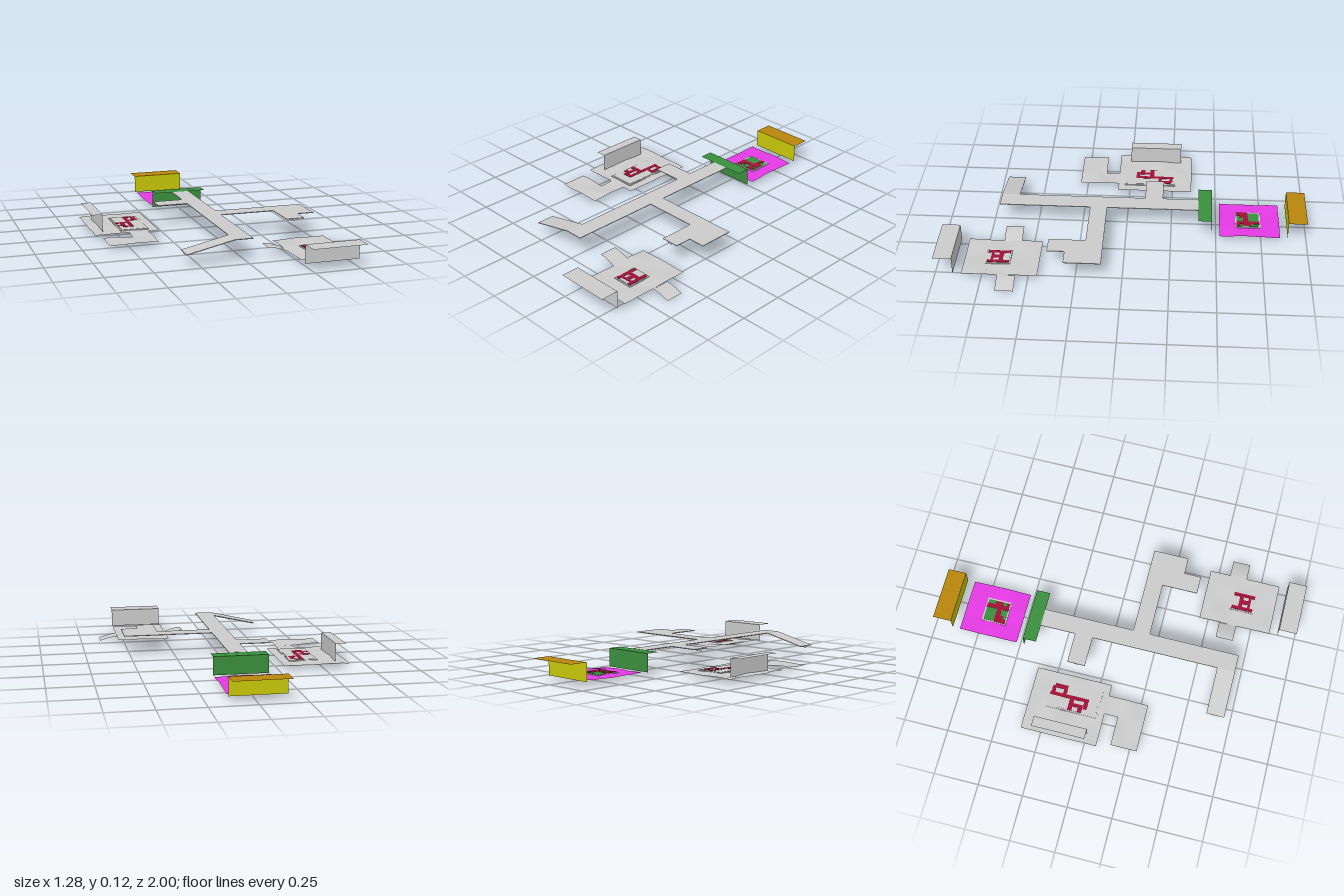
import * as THREE from 'three';

const mat = (color) => new THREE.MeshStandardMaterial({ color, side: THREE.DoubleSide });
const grey = mat(0xcccccc), pink = mat(0xe53ae5), green = mat(0x3a8f3d);
const gold = mat(0xb8860b), yellow = mat(0xc8c80a), red = mat(0xa01238);

function add(parent, name, geometry, material) {
  const mesh = new THREE.Mesh(geometry, material);
  mesh.name = name;
  parent.add(mesh);
  return mesh;
}

// Horizontal sheet over x0..x1, z0..z1 with height y = h(x, z)
function sheet(x0, x1, z0, z1, h, seg = 12) {
  const g = new THREE.PlaneGeometry(x1 - x0, z1 - z0, seg, seg);
  g.rotateX(-Math.PI / 2).translate((x0 + x1) / 2, 0, (z0 + z1) / 2);
  const p = g.attributes.position;
  for (let i = 0; i < p.count; i++) p.setY(i, h(p.getX(i), p.getZ(i)));
  g.computeVertexNormals();
  return g;
}

const box = (x0, x1, y0, y1, z0, z1) =>
  new THREE.BoxGeometry(x1 - x0, y1 - y0, z1 - z0)
    .translate((x0 + x1) / 2, (y0 + y1) / 2, (z0 + z1) / 2);

// Gently rolling ground
const ground = (x, z) => 0.026 + 0.003 * Math.sin(x * 27 + 1) * Math.cos(z * 23) + 0.001 * Math.sin(z * 41 + x * 17);

// Island sheet with a low plinth and a red maze inlaid on top
function island(name, area, material, plinth, walls, floor) {
  const group = new THREE.Group();
  group.name = name;
  add(group, 'ground', sheet(...area, ground, 20), material);
  const [x0, x1, z0, z1] = plinth, e = 0.008;
  add(group, 'plinth', box(x0, x1, 0.025, 0.0305, z0, z1), grey);
  add(group, 'plinthTop', box(x0 + e, x1 - e, 0.03, 0.032, z0 + e, z1 - e), floor);
  for (const [a, b, c, d] of walls) add(group, 'mazeStrip', box(a, b, 0.031, 0.0335, c, d), red);
  return group;
}

// Cliff: thin upright wall with a ledge along its top edge
function cliff(name, x0, x1, z0, z1, wallSide, ledgeMat, wallMat) {
  const group = new THREE.Group();
  group.name = name;
  const top = 0.122, base = 0.022;
  add(group, 'ledge', sheet(x0, x1, z0, z1, () => top, 1), ledgeMat);
  const alongZ = wallSide === 'x';
  const wall = new THREE.PlaneGeometry(alongZ ? z1 - z0 : x1 - x0, top - base);
  if (alongZ) wall.rotateY(Math.PI / 2);
  wall.translate(alongZ ? x1 : (x0 + x1) / 2, (top + base) / 2,
    alongZ ? (z0 + z1) / 2 : wallSide === 'back' ? z0 : z1);
  add(group, 'wall', wall, wallMat);
  return group;
}

// Raised walkway: one flat deck outline, narrow keel beams, and a sloping ramp
function walkway() {
  const group = new THREE.Group();
  group.name = 'walkway';
  const outline = [[-0.067, -0.4], [0.033, -0.4], [0.033, 0.11], [0.535, 0.11], [0.535, 0.31],
    [0.44, 0.31], [0.44, 0.405], [0.338, 0.405], [0.338, 0.205], [0.033, 0.205], [0.033, 0.712],
    [-0.067, 0.712], [-0.067, -0.1], [-0.237, -0.1], [-0.237, -0.2], [-0.067, -0.2]];
  const shape = new THREE.Shape(outline.map(([x, z]) => new THREE.Vector2(x, -z)));
  const deck = new THREE.ExtrudeGeometry(shape, { depth: 0.004, bevelEnabled: false });
  add(group, 'deck', deck.rotateX(-Math.PI / 2).translate(0, 0.119, 0), grey);
  const keels = [[-0.029, -0.005, -0.4, 0.672], [-0.237, -0.029, -0.162, -0.138],
    [-0.005, 0.4, 0.146, 0.17], [0.376, 0.4, 0.17, 0.405], [0.4, 0.5, 0.246, 0.27]];
  for (const [a, b, c, d] of keels) add(group, 'keel', box(a, b, 0.112, 0.119, c, d), grey);

  const ramp = new THREE.Group();
  ramp.name = 'ramp';
  add(ramp, 'rampDeck', box(-0.259, 0, -0.004, 0, 0.612, 0.712), grey);
  add(ramp, 'rampKeel', box(-0.259, 0, -0.011, -0.004, 0.65, 0.674), grey);
  ramp.position.set(-0.067, 0.123, 0);
  ramp.rotation.z = Math.atan2(0.057, 0.253);
  group.add(ramp);
  return group;
}

export function createModel() {
  const model = new THREE.Group();
  model.name = 'islandsAndWalkway';
  model.add(walkway());

  // Cliffs
  model.add(cliff('goldCliff', -0.167, 0.133, -1, -0.897, 'front', gold, yellow));
  model.add(cliff('greenCliff', -0.167, 0.133, -0.476, -0.4, 'back', green, green));
  model.add(cliff('frontCliff', 0.237, 0.535, 0.9, 1, 'back', grey, grey));
  model.add(cliff('sideCliff', -0.64, -0.583, -0.295, 0.003, 'x', grey, grey));

  // Back island
  model.add(island('pinkIsland', [-0.167, 0.133, -0.855, -0.52], pink, [-0.085, 0.055, -0.75, -0.61], [
    [0, 0.025, -0.745, -0.617], [-0.08, 0.045, -0.682, -0.655], [-0.08, -0.055, -0.655, -0.617],
    [-0.055, -0.035, -0.655, -0.635], [0.025, 0.045, -0.7, -0.682], [0.025, 0.045, -0.635, -0.617],
  ], green));

  // Side island with its bent path
  const side = island('sideIsland', [-0.64, -0.28, -0.36, 0.067], grey, [-0.488, -0.33, -0.265, 0.03], [
    [-0.415, -0.395, -0.255, -0.035], [-0.395, -0.36, -0.25, -0.23], [-0.37, -0.345, -0.238, -0.165],
    [-0.395, -0.37, -0.185, -0.165], [-0.48, -0.415, -0.14, -0.115], [-0.455, -0.435, -0.115, -0.06],
    [-0.48, -0.455, -0.085, -0.06], [-0.455, -0.415, -0.058, -0.035],
  ], grey);
  add(side, 'path', sheet(-0.45, -0.343, 0.067, 0.143, ground), grey);
  add(side, 'pathEnd', sheet(-0.613, -0.343, 0.143, 0.29, ground), grey);
  model.add(side);

  // Front island with a rising and a falling wing
  const front = island('frontIsland', [0.237, 0.535, 0.45, 0.855], grey, [0.33, 0.445, 0.605, 0.74], [
    [0.337, 0.357, 0.612, 0.733], [0.418, 0.438, 0.612, 0.733], [0.357, 0.418, 0.648, 0.67],
    [0.375, 0.4, 0.67, 0.712], [0.357, 0.418, 0.7, 0.714],
  ], grey);
  add(front, 'risingWing', sheet(0.137, 0.237, 0.565, 0.663,
    (x) => 0.024 + 0.024 * Math.sin((0.237 - x) / 0.1 * Math.PI / 2)), grey);
  add(front, 'fallingWing', sheet(0.535, 0.637, 0.565, 0.663,
    (x) => 0.024 - 0.023 * ((x - 0.535) / 0.102) ** 1.6), grey);
  model.add(front);
  return model;
}
